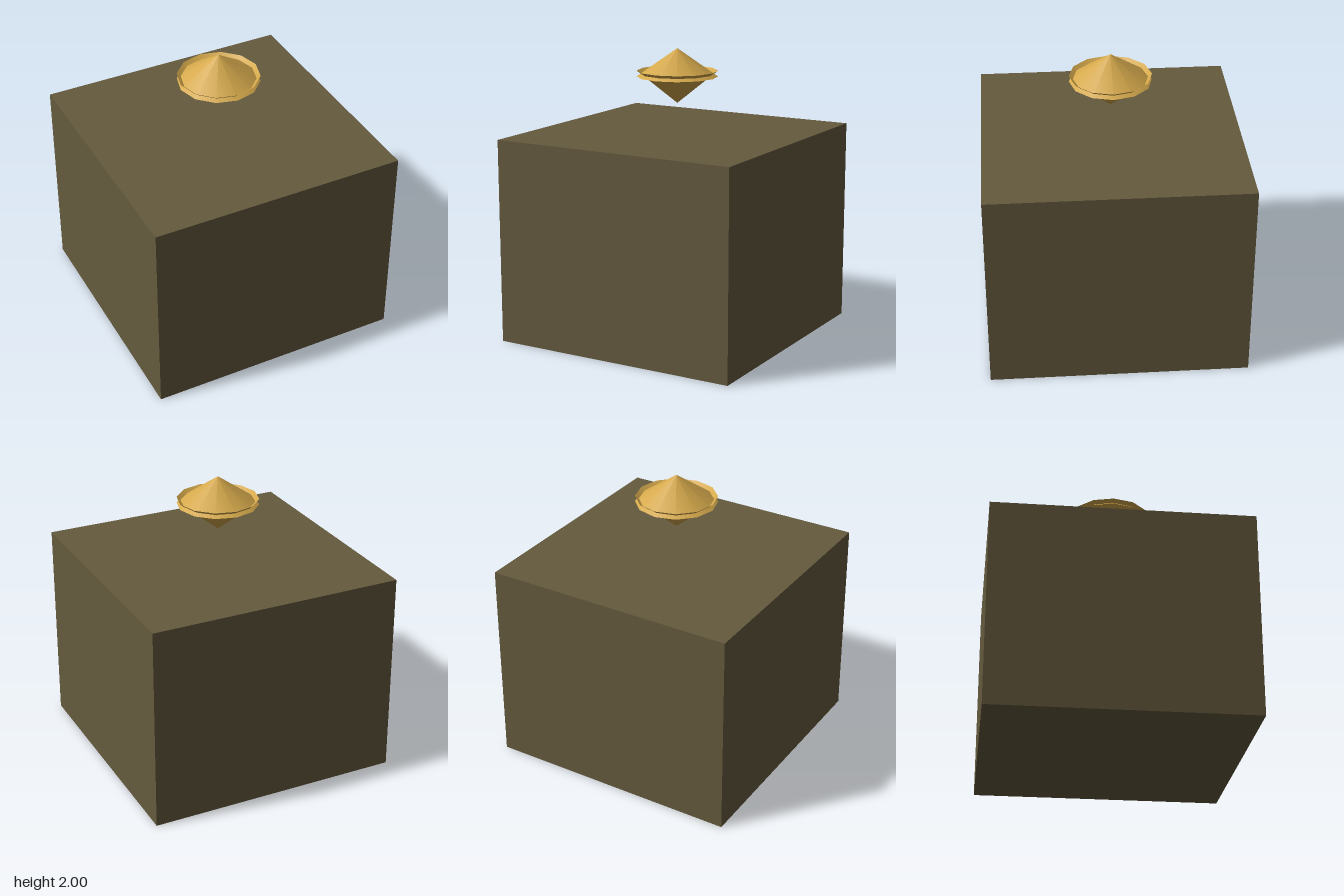
import * as THREE from 'three';

export function createModel() {
  const model = new THREE.Group();
  const stone = new THREE.MeshStandardMaterial({ color: 0x655a3e });
  const gold = new THREE.MeshStandardMaterial({ color: 0xd4a84b, side: THREE.DoubleSide });

  // Solid block standing on the ground
  const block = new THREE.Mesh(new THREE.BoxGeometry(1.77, 1.42, 1.77), stone);
  block.name = 'block';
  block.position.y = 0.71;
  model.add(block);

  // Floating marker: two open twelve-sided cones whose rims overlap
  const marker = new THREE.Group();
  marker.name = 'floatingMarker';
  const addCone = (name, tipY, rimY) => {
    const cone = new THREE.ConeGeometry(0.28, Math.abs(tipY - rimY), 12, 1, true);
    if (tipY < rimY) cone.rotateX(Math.PI);
    const mesh = new THREE.Mesh(cone, gold);
    mesh.name = name;
    mesh.position.y = (tipY + rimY) / 2;
    marker.add(mesh);
  };
  addCone('upperCone', 2, 1.805);
  addCone('lowerCone', 1.62, 1.845);
  model.add(marker);

  return model;
}
